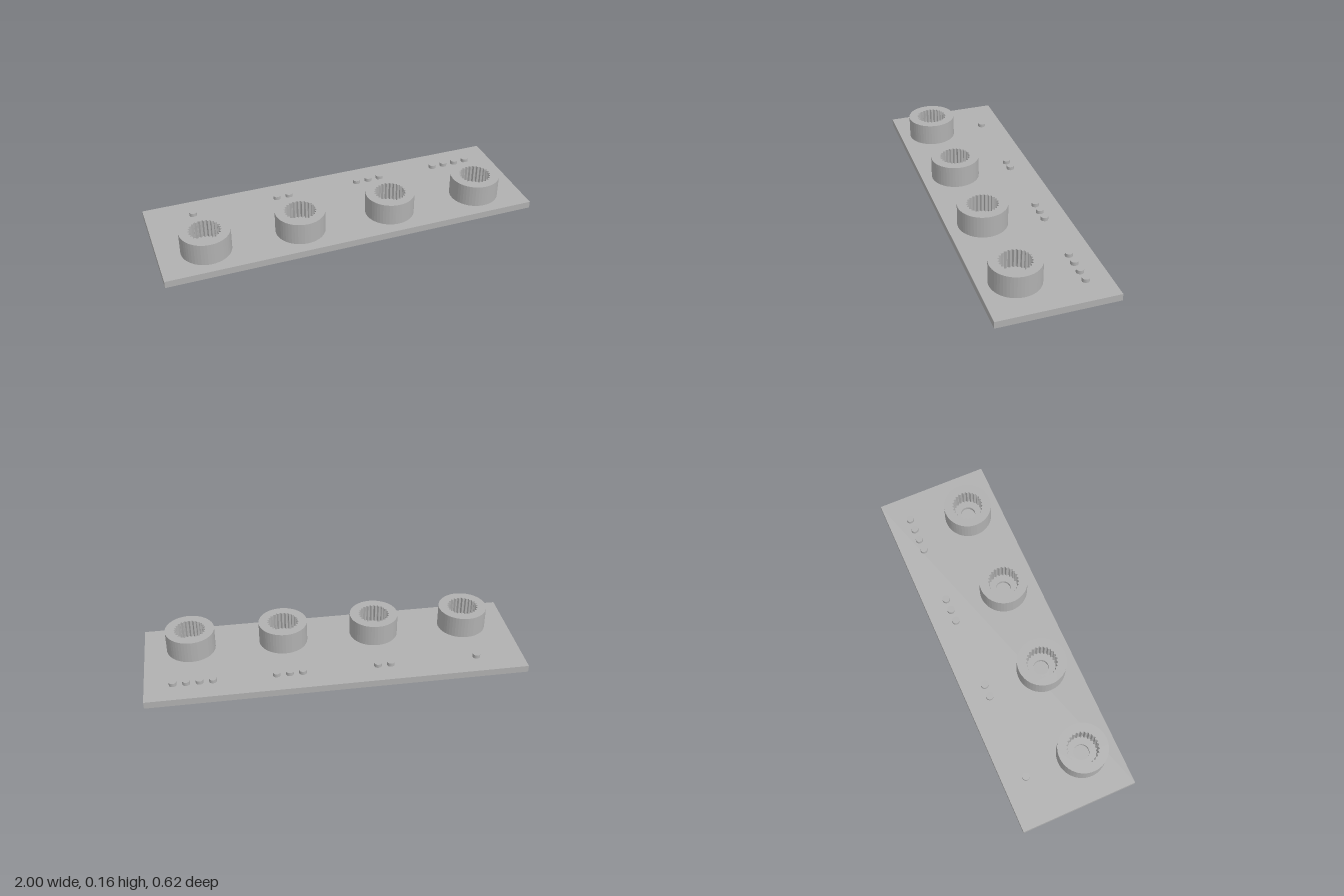
import * as THREE from 'three';

const PLATE_TOP = 0.0375, PLATE_WIDTH = 2, PLATE_DEPTH = 0.625;
const SOCKET = { z: 0.125, radius: 0.131, top: 0.157, floor: 0.057, boltHole: 0.041 };
const SPLINE = { teeth: 25, inner: 0.076, outer: 0.084 };
const DOT = { z: -0.188, radius: 0.02, top: 0.057, spacing: 0.0685 };

// Closed outline of the toothed bore: one tapered groove per tooth
function splinePath() {
  const points = [];
  const step = (Math.PI * 2) / SPLINE.teeth;
  for (let i = 0; i < SPLINE.teeth; i++) {
    for (const [offset, r] of [[-0.45, SPLINE.inner], [-0.08, SPLINE.outer], [0.08, SPLINE.outer], [0.45, SPLINE.inner]]) {
      const a = (i + offset) * step;
      points.push(new THREE.Vector2(Math.cos(a) * r, Math.sin(a) * r));
    }
  }
  return new THREE.Path(points);
}

function circlePath(radius) {
  return new THREE.Path().absarc(0, 0, radius, 0, Math.PI * 2, false);
}

// Upright ring between two heights with a given bore
function ringGeometry(bore, bottom, top) {
  const shape = new THREE.Shape().absarc(0, 0, SOCKET.radius, 0, Math.PI * 2, false);
  shape.holes.push(bore);
  const geometry = new THREE.ExtrudeGeometry(shape, { depth: top - bottom, bevelEnabled: false, curveSegments: 24 });
  geometry.rotateX(-Math.PI / 2);
  geometry.translate(0, bottom, 0);
  return geometry;
}

export function createModel() {
  const model = new THREE.Group();
  model.name = 'splineSocketPlate';
  const grey = new THREE.MeshStandardMaterial({ color: 0xb0b0b0 });
  grey.name = 'grey';

  const add = (parent, name, geometry, x, y, z) => {
    const mesh = new THREE.Mesh(geometry, grey);
    mesh.name = name;
    mesh.position.set(x, y, z);
    parent.add(mesh);
  };

  // Base plate
  add(model, 'basePlate', new THREE.BoxGeometry(PLATE_WIDTH, PLATE_TOP, PLATE_DEPTH), 0, PLATE_TOP / 2, 0);

  // Shared part shapes
  const wall = ringGeometry(splinePath(), SOCKET.floor, SOCKET.top);
  const floor = ringGeometry(circlePath(SOCKET.boltHole), PLATE_TOP, SOCKET.floor);
  const dotHeight = DOT.top - PLATE_TOP;
  const dot = new THREE.CylinderGeometry(DOT.radius, DOT.radius, dotHeight, 24);

  // Four sockets, each marked by a row of one to four dots
  for (let i = 0; i < 4; i++) {
    const x = -0.75 + i * 0.5;
    const station = new THREE.Group();
    station.name = `station${i + 1}`;
    station.position.x = x;
    model.add(station);
    add(station, 'socketWall', wall, 0, 0, SOCKET.z);
    add(station, 'socketFloor', floor, 0, 0, SOCKET.z);
    for (let d = 0; d <= i; d++) {
      add(station, 'markerDot', dot, (d - i / 2) * DOT.spacing, PLATE_TOP + dotHeight / 2, DOT.z);
    }
  }
  return model;
}
